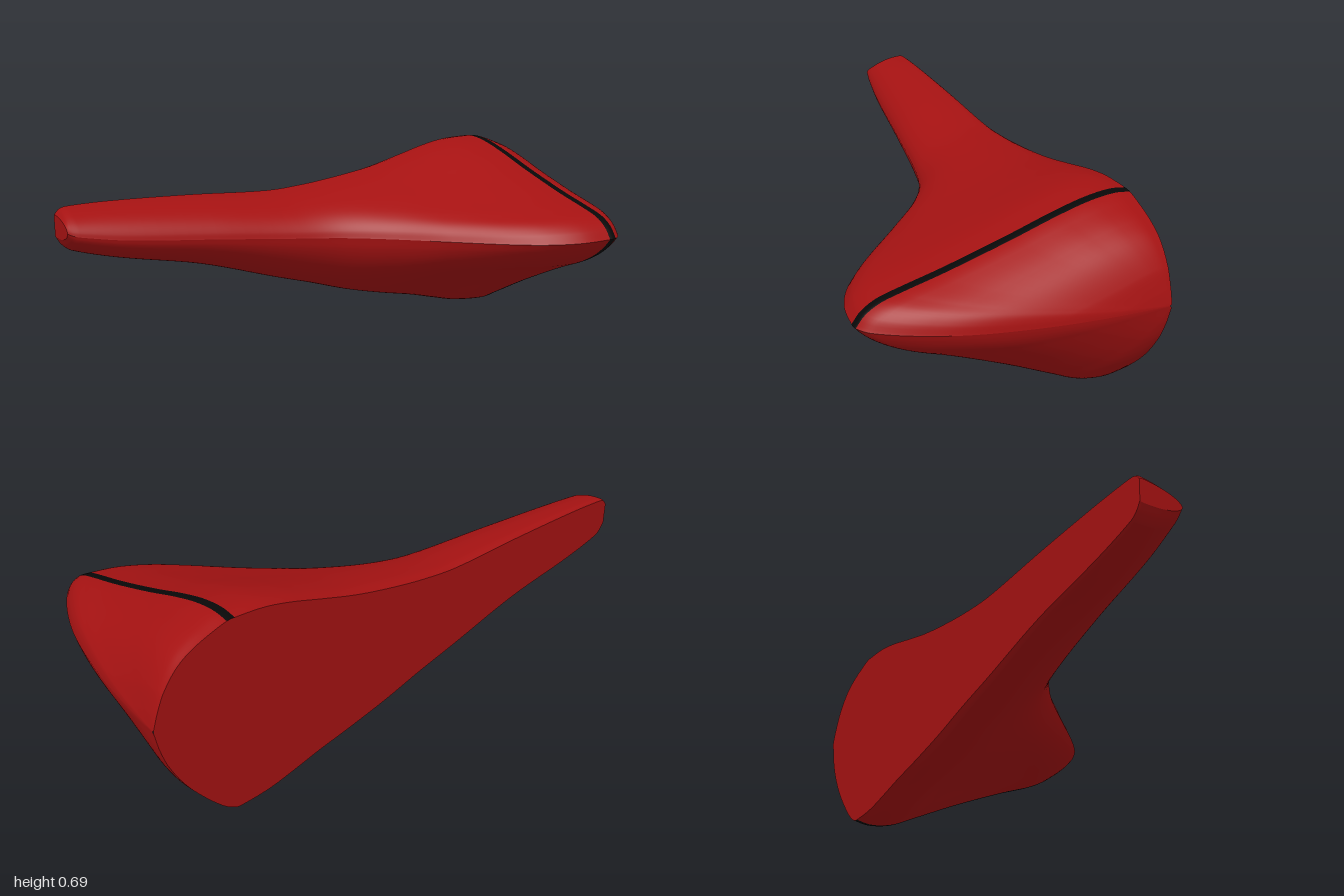
import * as THREE from 'three';
import { ParametricGeometry } from 'three/addons/geometries/ParametricGeometry.js';

const BACK = -0.456;

// Stations along the length: x, bottom y, ridge y, top y, front z
const STATIONS = [
  [-1, 0.45, 0.49, 0.53, -0.3],
  [-0.985, 0.425, 0.482, 0.548, -0.297],
  [-0.96, 0.405, 0.475, 0.556, -0.291],
  [-0.8, 0.362, 0.452, 0.56, -0.26],
  [-0.5, 0.302, 0.43, 0.553, -0.212],
  [-0.2, 0.212, 0.408, 0.54, -0.16],
  [-0.05, 0.17, 0.402, 0.55, -0.11],
  [0.1, 0.125, 0.4, 0.57, -0.005],
  [0.25, 0.09, 0.402, 0.597, 0.145],
  [0.4, 0.06, 0.406, 0.635, 0.3],
  [0.5, 0.035, 0.41, 0.662, 0.385],
  [0.6, 0.012, 0.414, 0.682, 0.435],
  [0.708, 0.003, 0.419, 0.688, 0.454],
  [0.736, 0.008, 0.42, 0.686, 0.452],
  [0.78, 0.038, 0.42, 0.672, 0.415],
  [0.85, 0.112, 0.42, 0.643, 0.29],
  [0.91, 0.19, 0.42, 0.602, 0.13],
  [0.96, 0.28, 0.42, 0.535, -0.09],
  [0.985, 0.35, 0.42, 0.474, -0.27],
  [1, 0.415, 0.42, 0.425, -0.45],
];
const STRIPE = 12; // station where the stripe starts

// Half profiles, back to front: (depth fraction, height fraction)
const profile = (pts) => new THREE.CatmullRomCurve3(pts.map(([t, h]) => new THREE.Vector3(t, h, 0)));
const ARM = profile([[0, 0.93], [0.06, 1], [0.25, 0.98], [0.4, 0.93], [0.55, 0.84], [0.7, 0.71], [0.83, 0.54], [0.92, 0.36], [0.975, 0.18], [1, 0]]);
const HEAD_TOP = profile([[0, 0.975], [0.06, 1], [0.15, 0.97], [0.28, 0.86], [0.45, 0.68], [0.69, 0.45], [0.83, 0.335], [0.91, 0.26], [0.965, 0.15], [1, 0]]);
const HEAD_LOW = profile([[0, 0.98], [0.06, 1], [0.15, 0.965], [0.26, 0.85], [0.45, 0.64], [0.69, 0.4], [0.83, 0.275], [0.91, 0.18], [0.965, 0.085], [1, 0]]);

// Smooth cubic interpolation of all station values at index position s
function section(s) {
  const n = STATIONS.length;
  const i = Math.min(Math.floor(s), n - 2), f = s - i;
  const a = STATIONS[i], b = STATIONS[i + 1], dx = b[0] - a[0];
  const slope = (k, c) => {
    const p = STATIONS[Math.max(k - 1, 0)], q = STATIONS[Math.min(k + 1, n - 1)];
    return (q[c] - p[c]) / (q[0] - p[0]);
  };
  return a.map((va, c) => {
    if (c === 0) return va + dx * f;
    const f2 = f * f, f3 = f2 * f;
    return va * (2 * f3 - 3 * f2 + 1) + b[c] * (3 * f2 - 2 * f3)
      + dx * (slope(i, c) * (f3 - 2 * f2 + f) + slope(i + 1, c) * (f3 - f2));
  });
}

// Point on the shell: w = 0 at the back edge, 1 at the front ridge
function shellPoint(s, w, upper, target) {
  const [x, low, mid, top, front] = section(s);
  const k = THREE.MathUtils.smoothstep(x, -0.15, 0.55);
  const p = ARM.getPoint(w).lerp((upper ? HEAD_TOP : HEAD_LOW).getPoint(w), k);
  return target.set(x, mid + ((upper ? top : low) - mid) * p.y, BACK + (front - BACK) * p.x);
}

export function createModel() {
  const red = new THREE.MeshStandardMaterial({ color: 0xa51212 });
  const black = new THREE.MeshStandardMaterial({ color: 0x080808 });
  const group = new THREE.Group();
  const last = STATIONS.length - 1;
  const add = (name, fn, nu, nv, material) => {
    const mesh = new THREE.Mesh(new ParametricGeometry(fn, nu, nv), material);
    mesh.name = name;
    group.add(mesh);
  };

  // Upper and lower shells meet in a crease along the front ridge
  const shells = [
    ['housing', 0, STRIPE, red],
    ['stripe', STRIPE, STRIPE + 1, black],
    ['endCap', STRIPE + 1, last, red],
  ];
  for (const [name, from, to, material] of shells) {
    for (const upper of [true, false]) {
      add(name + (upper ? 'Upper' : 'Lower'),
        (u, v, t) => shellPoint(from + (to - from) * u, upper ? 1 - v : v, upper, t),
        (to - from) * 6, 36, material);
    }
  }

  // Flat back
  const tmp = new THREE.Vector3();
  add('backFace', (u, v, t) => {
    shellPoint(u * last, 0, true, t);
    return t.lerp(shellPoint(u * last, 0, false, tmp), v);
  }, last * 6, 1, red);

  // Flat tip of the arm
  add('armTip', (u, v, t) => {
    shellPoint(0, u, false, t);
    return t.lerp(shellPoint(0, u, true, tmp), v);
  }, 36, 1, red);

  return group;
}
